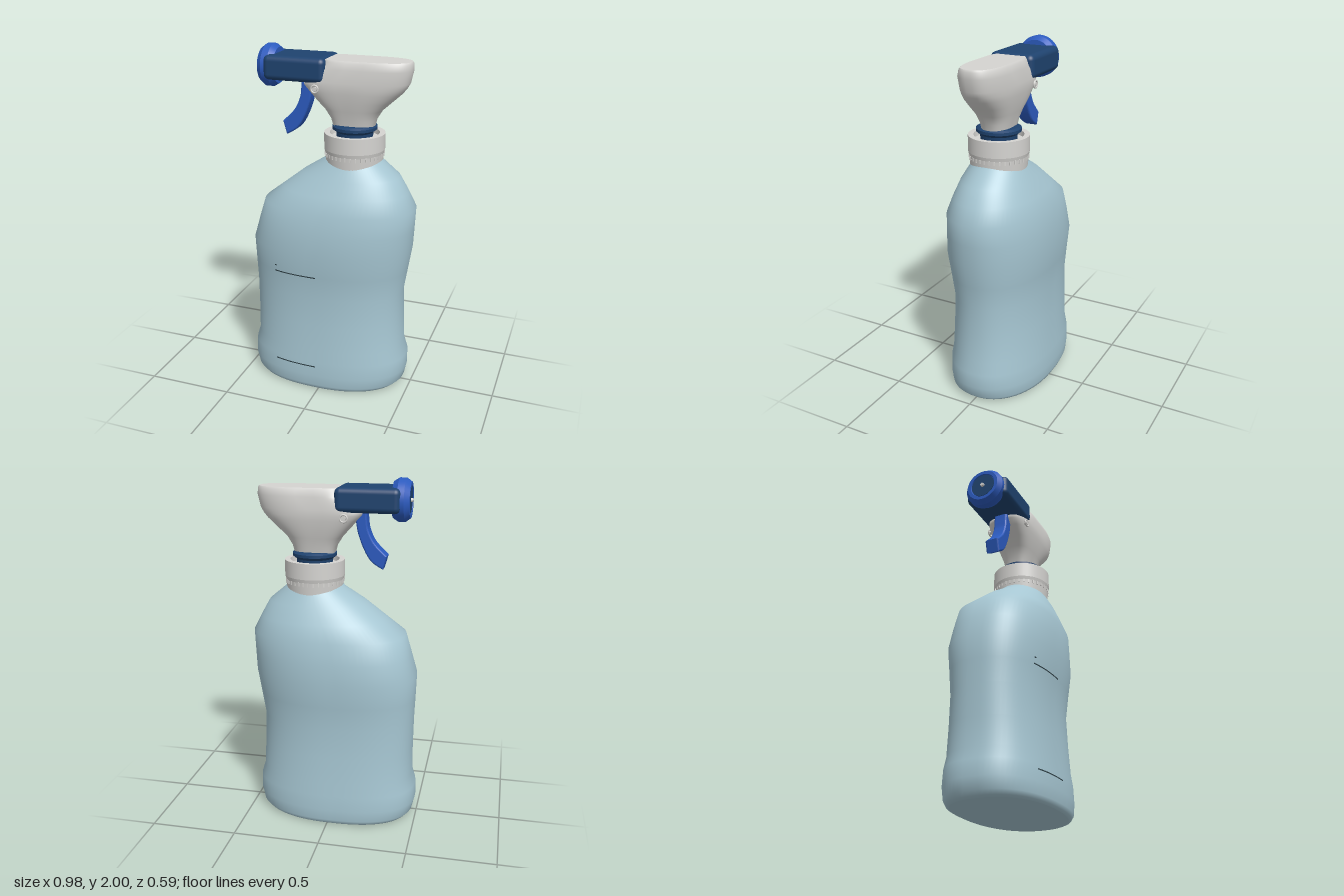
import * as THREE from 'three';
import { RoundedBoxGeometry } from 'three/addons/geometries/RoundedBoxGeometry.js';

const mat = (name, color) => Object.assign(new THREE.MeshStandardMaterial({ color }), { name });

// Cross-sections, bottom to top: [y, xMin, xMax, zHalf, squareness at -x, squareness at +x]
const BOTTLE = [
  [0.004, -0.43, 0.405, 0.268, 2.5, 2.2],
  [0.012, -0.452, 0.428, 0.283, 2.5, 2.2],
  [0.035, -0.475, 0.452, 0.292, 2.5, 2.2],
  [0.1, -0.49, 0.466, 0.296, 2.5, 2.2],
  [0.19, -0.486, 0.466, 0.291, 2.5, 2.2],
  [0.26, -0.465, 0.444, 0.283, 2.5, 2.2],
  [0.42, -0.464, 0.436, 0.273, 2.5, 2.2],
  [0.6, -0.466, 0.43, 0.266, 2.5, 2.2],
  [0.74, -0.471, 0.452, 0.28, 2.5, 2.2],
  [0.88, -0.475, 0.474, 0.296, 2.5, 2.2],
  [1.0, -0.44, 0.48, 0.287, 2.5, 2.2],
  [1.12, -0.405, 0.486, 0.276, 2.4, 2.2],
  [1.21, -0.29, 0.44, 0.237, 2.3, 2.2],
  [1.3, -0.175, 0.39, 0.195, 2.2, 2.1],
  [1.38, -0.05, 0.295, 0.15, 2, 2],
  [1.42, -0.02, 0.27, 0.13, 2, 2],
];
const HEAD = [
  [1.56, 0.012, 0.235, 0.075, 3.5, 2.5],
  [1.62, -0.003, 0.25, 0.086, 3.5, 2.5],
  [1.67, -0.035, 0.28, 0.101, 3.5, 2.5],
  [1.72, -0.08, 0.335, 0.115, 4, 2.5],
  [1.77, -0.125, 0.39, 0.125, 4, 2.5],
  [1.8, -0.153, 0.415, 0.129, 4, 2.5],
  [1.83, -0.16, 0.432, 0.13, 4, 2.5],
  [1.9, -0.035, 0.447, 0.126, 6, 2.5],
  [1.935, -0.03, 0.446, 0.115, 6, 2.5],
  [1.946, -0.03, 0.438, 0.106, 6, 2.5],
];

// Skin over superellipse sections, with flat crisp end caps
function loft(sections, seg = 72) {
  const pos = [], idx = [];
  const ring = ([y, x0, x1, zh, nl, nr]) => {
    for (let j = 0; j < seg; j++) {
      const t = (j / seg) * Math.PI * 2, c = Math.cos(t), s = Math.sin(t);
      const e = 2 / (c < 0 ? nl : nr);
      pos.push((x0 + x1) / 2 + ((x1 - x0) / 2) * Math.sign(c) * Math.abs(c) ** e, y,
        zh * Math.sign(s) * Math.abs(s) ** e);
    }
  };
  sections.forEach(ring);
  for (let i = 0; i < sections.length - 1; i++) {
    for (let j = 0; j < seg; j++) {
      const k = (j + 1) % seg, a = i * seg + j, b = i * seg + k;
      idx.push(a, a + seg, b, b, a + seg, b + seg);
    }
  }
  for (const [sec, top] of [[sections[0], false], [sections.at(-1), true]]) {
    const start = pos.length / 3;
    ring(sec);
    pos.push((sec[1] + sec[2]) / 2, sec[0], 0);
    for (let j = 0; j < seg; j++) {
      const a = start + j, b = start + ((j + 1) % seg);
      idx.push(start + seg, top ? b : a, top ? a : b);
    }
  }
  const g = new THREE.BufferGeometry();
  g.setAttribute('position', new THREE.Float32BufferAttribute(pos, 3));
  g.setIndex(idx);
  g.computeVertexNormals();
  return g;
}

// Depth of the bottle's front wall at a point
function bottleZ(x, y) {
  const i = BOTTLE.findIndex((s) => s[0] > y);
  const A = BOTTLE[i - 1], B = BOTTLE[i], f = (y - A[0]) / (B[0] - A[0]);
  const [, x0, x1, zh, nl, nr] = A.map((v, k) => v + (B[k] - v) * f);
  const u = (2 * x - x0 - x1) / (x1 - x0), n = u < 0 ? nl : nr;
  return zh * (1 - Math.abs(u) ** n) ** (1 / n);
}

// Lathe whose profile corners stay sharp (each point doubled)
const sharpLathe = (pts, seg = 48) => new THREE.LatheGeometry(
  pts.flatMap(([r, y]) => [new THREE.Vector2(r, y), new THREE.Vector2(r, y)]), seg);

export function createModel() {
  const root = new THREE.Group();
  const paleBlue = mat('pale blue plastic', 0xa6c6d2);
  const white = mat('off-white plastic', 0xd5d4d1);
  const navy = mat('navy plastic', 0x1f436f);
  const blue = mat('bright blue plastic', 0x2c5bbf);
  const dark = mat('dark marking', 0x2f4046);
  const add = (name, geo, material, x = 0, y = 0, z = 0, parent = root) => {
    const m = new THREE.Mesh(geo, material);
    m.name = name;
    m.position.set(x, y, z);
    parent.add(m);
    return m;
  };

  add('bottle', loft(BOTTLE), paleBlue);

  // Level marks following the bottle's front wall
  for (const [x, y, w] of [[-0.14, 0.74, 0.26], [-0.14, 0.162, 0.26], [-0.263, 0.777, 0.014]]) {
    const g = new THREE.PlaneGeometry(w, 0.007, 20, 1).translate(x, y, 0);
    const p = g.attributes.position;
    for (let i = 0; i < p.count; i++) p.setZ(i, bottleZ(p.getX(i), p.getY(i)) + 0.004);
    g.computeVertexNormals();
    add('levelMark', g, dark);
  }

  // Screw cap with a recessed top and a ring of small ribs
  const cap = new THREE.Group();
  cap.name = 'screwCap';
  cap.position.x = 0.125;
  root.add(cap);
  add('capShell', sharpLathe([[0.12, 1.36], [0.16, 1.36], [0.166, 1.43], [0.171, 1.45],
    [0.171, 1.54], [0.14, 1.54], [0.137, 1.51], [0, 1.51]]), white, 0, 0, 0, cap);
  for (let i = 0; i < 36; i++) {
    const t = (i / 36) * Math.PI * 2;
    add('capRib', new THREE.BoxGeometry(0.008, 0.022, 0.007), white,
      Math.cos(t) * 0.165, 1.42, Math.sin(t) * 0.165, cap).rotation.y = -t;
  }
  add('collar', sharpLathe([[0.1, 1.5], [0.104, 1.545], [0.126, 1.562], [0.126, 1.578],
    [0.112, 1.587], [0, 1.587]]), navy, 0.125);

  // Spray head and barrel
  add('sprayHead', loft(HEAD), white);
  add('barrel', new RoundedBoxGeometry(0.36, 0.136, 0.268, 5, 0.032), navy, -0.19, 1.887, 0);

  // Nozzle pointing to -x
  const nozzle = new THREE.Group();
  nozzle.name = 'nozzle';
  nozzle.position.y = 1.883;
  nozzle.rotation.z = Math.PI / 2;
  root.add(nozzle);
  add('nozzleCap', sharpLathe([[0, 0.32], [0.1, 0.32], [0.119, 0.35], [0.119, 0.388],
    [0.098, 0.416], [0.078, 0.416], [0.074, 0.408], [0, 0.408]]), blue, 0, 0, 0, nozzle);
  add('nozzleFace', new THREE.CylinderGeometry(0.073, 0.073, 0.008, 40), navy, 0, 0.409, 0, nozzle);
  add('nozzleTip', new THREE.CylinderGeometry(0.01, 0.012, 0.014, 16), white, 0, 0.419, 0, nozzle);

  // Curved trigger
  const v = (x, y) => new THREE.Vector2(x, y);
  const trigger = new THREE.Shape();
  trigger.moveTo(-0.165, 1.84);
  trigger.splineThru([v(-0.17, 1.77), v(-0.18, 1.71), v(-0.215, 1.64), v(-0.282, 1.572)]);
  trigger.lineTo(-0.266, 1.512);
  trigger.splineThru([v(-0.21, 1.55), v(-0.17, 1.615), v(-0.138, 1.7), v(-0.125, 1.77), v(-0.11, 1.84)]);
  add('trigger', new THREE.ExtrudeGeometry(trigger, {
    depth: 0.06, curveSegments: 20, bevelThickness: 0.012, bevelSize: 0.01, bevelSegments: 4,
  }).translate(0, 0, -0.03), blue);

  // Pivot pins on both sides of the head
  for (const side of [1, -1]) {
    add('pivotRing', new THREE.TorusGeometry(0.02, 0.005, 10, 28), white, -0.065, 1.79, side * 0.127);
    add('pivotPin', new THREE.CylinderGeometry(0.012, 0.012, 0.03, 20).rotateX(Math.PI / 2),
      white, -0.065, 1.79, side * 0.117);
  }
  return root;
}
